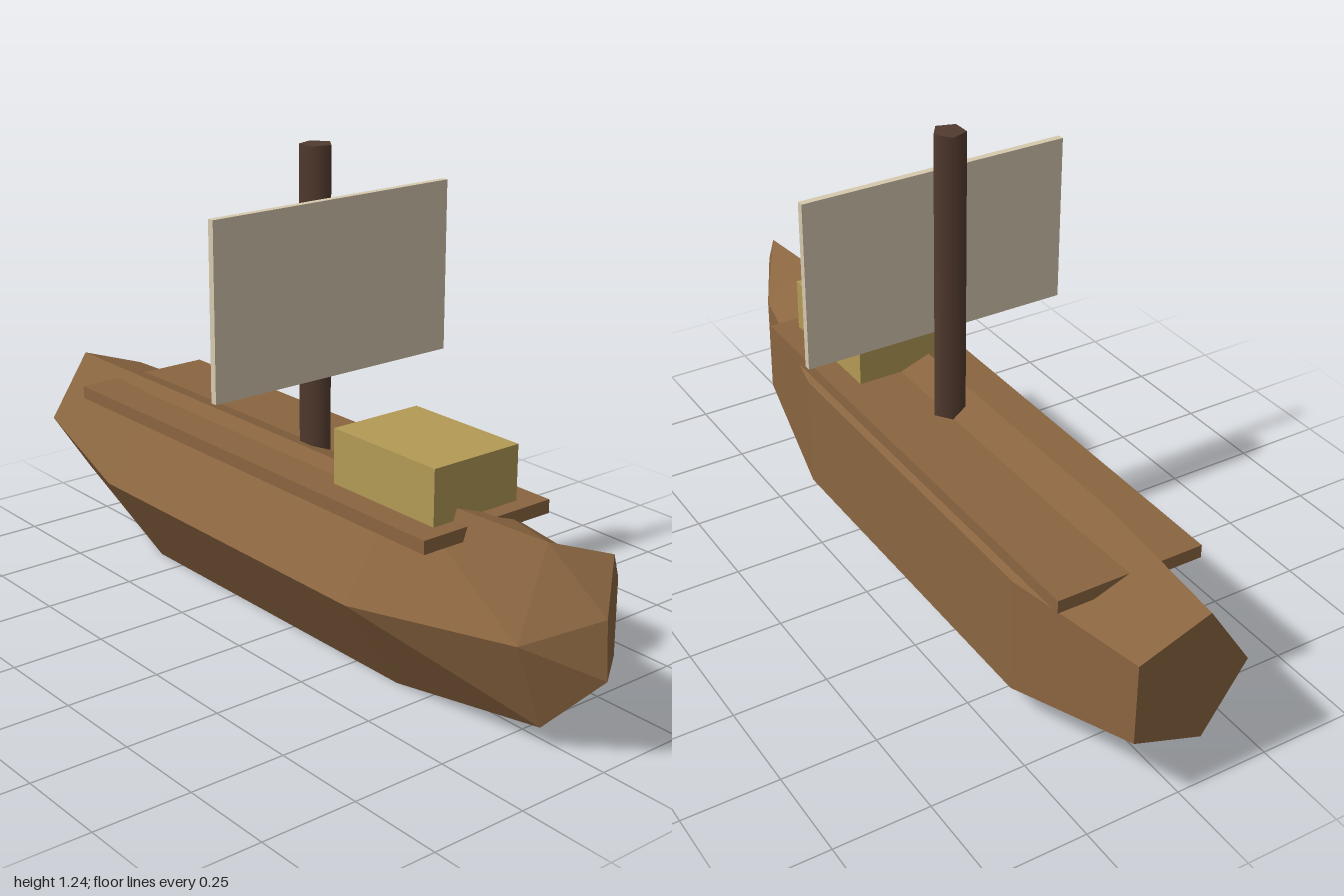
import * as THREE from 'three';

const material = (name, color, flatShading = true) => {
  const m = new THREE.MeshStandardMaterial({ color, flatShading });
  m.name = name;
  return m;
};

// Five-sided hull lofted through elliptical stations [z, centre y, x radius, y radius]
function hullGeometry(stations) {
  const sides = 5;
  const rings = stations.map(([z, cy, rx, ry]) =>
    Array.from({ length: sides }, (_, k) => {
      const a = ((k + 0.5) / sides) * Math.PI * 2;
      return [rx * Math.cos(a), cy + ry * Math.sin(a), z];
    }));
  const pos = [];
  const tri = (a, b, c) => pos.push(...a, ...b, ...c);
  for (let i = 0; i < rings.length - 1; i++) {
    for (let k = 0; k < sides; k++) {
      const n = (k + 1) % sides;
      tri(rings[i][k], rings[i][n], rings[i + 1][n]);
      tri(rings[i][k], rings[i + 1][n], rings[i + 1][k]);
    }
  }
  // stern and bow caps
  const stern = rings[0], bow = rings[rings.length - 1];
  for (let k = 1; k < sides - 1; k++) {
    tri(stern[0], stern[k + 1], stern[k]);
    tri(bow[0], bow[k], bow[k + 1]);
  }
  const g = new THREE.BufferGeometry();
  g.setAttribute('position', new THREE.Float32BufferAttribute(pos, 3));
  g.computeVertexNormals();
  return g;
}

export function createModel() {
  const boat = new THREE.Group();
  boat.name = 'sailingBoat';
  const wood = material('hull wood', 0x8a6540);
  const mastWood = material('dark mast wood', 0x523b2f, false);
  const canvas = material('sail canvas', 0xd6c9af);
  const straw = material('cargo yellow', 0xb39a55);

  const add = (name, geometry, mat, x = 0, y = 0, z = 0) => {
    const mesh = new THREE.Mesh(geometry, mat);
    mesh.name = name;
    mesh.position.set(x, y, z);
    boat.add(mesh);
  };

  add('hull', hullGeometry([
    [-1, 0.32, 0.168, 0.184],
    [-0.6, 0.255, 0.24, 0.266],
    [0.4, 0.255, 0.24, 0.266],
    [0.84, 0.281, 0.12, 0.236],
    [1, 0.373, 0.014, 0.157],
  ]), wood);

  add('deck', new THREE.BoxGeometry(0.392, 0.034, 1.4), wood, -0.001, 0.461, -0.08);
  add('cargoBox', new THREE.BoxGeometry(0.26, 0.14, 0.35), straw, 0, 0.548, 0.402);

  // five-sided mast with a corner towards +x
  add('mast', new THREE.CylinderGeometry(0.042, 0.042, 0.78, 5, 1, false, Math.PI / 2),
    mastWood, 0, 0.855, 0);
  add('sail', new THREE.BoxGeometry(0.72, 0.44, 0.018), canvas, 0, 0.903, 0.064);

  return boat;
}
